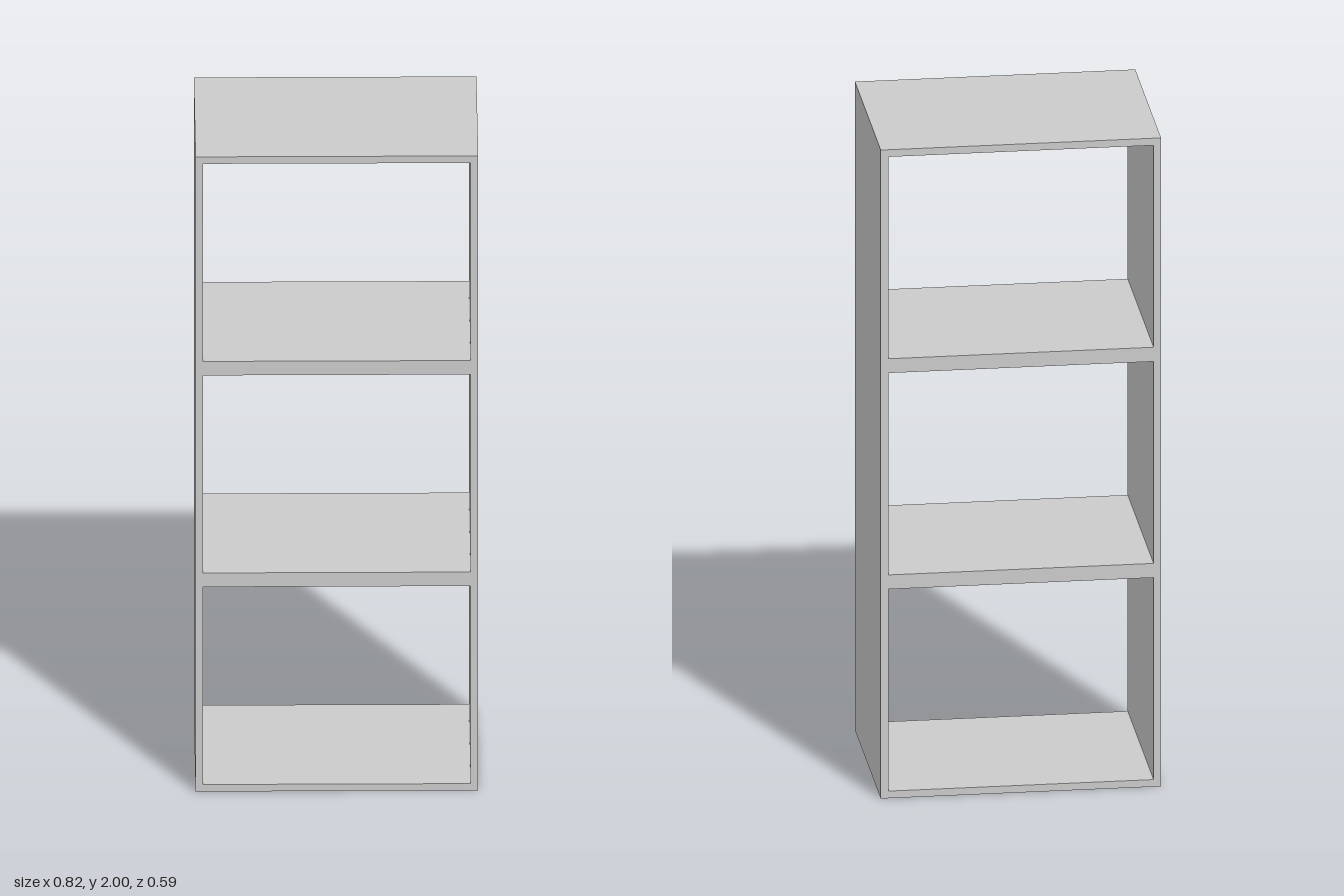
import * as THREE from 'three';

const W = 0.82, H = 2, D = 0.59; // outer size
const T = 0.022;                 // wall thickness (shelves are doubled)
const BAYS = 3;

// Counter-clockwise rectangle
function rect(PathType, x0, y0, x1, y1) {
  return new PathType([
    new THREE.Vector2(x0, y0), new THREE.Vector2(x1, y0),
    new THREE.Vector2(x1, y1), new THREE.Vector2(x0, y1),
  ]);
}

export function createModel() {
  const group = new THREE.Group();
  group.name = 'openShelf';
  const material = new THREE.MeshStandardMaterial({ color: 0xcccccc });

  // Carcass outline with one open bay cut right through per level
  const outline = rect(THREE.Shape, -W / 2, 0, W / 2, H);
  const bayHeight = H / BAYS;
  for (let i = 0; i < BAYS; i++) {
    const y = i * bayHeight;
    outline.holes.push(rect(THREE.Path, -W / 2 + T, y + T, W / 2 - T, y + bayHeight - T));
  }

  const geometry = new THREE.ExtrudeGeometry(outline, { depth: D, bevelEnabled: false });
  geometry.translate(0, 0, -D / 2);
  const carcass = new THREE.Mesh(geometry, material);
  carcass.name = 'shelfCarcass';
  group.add(carcass);

  return group;
}
